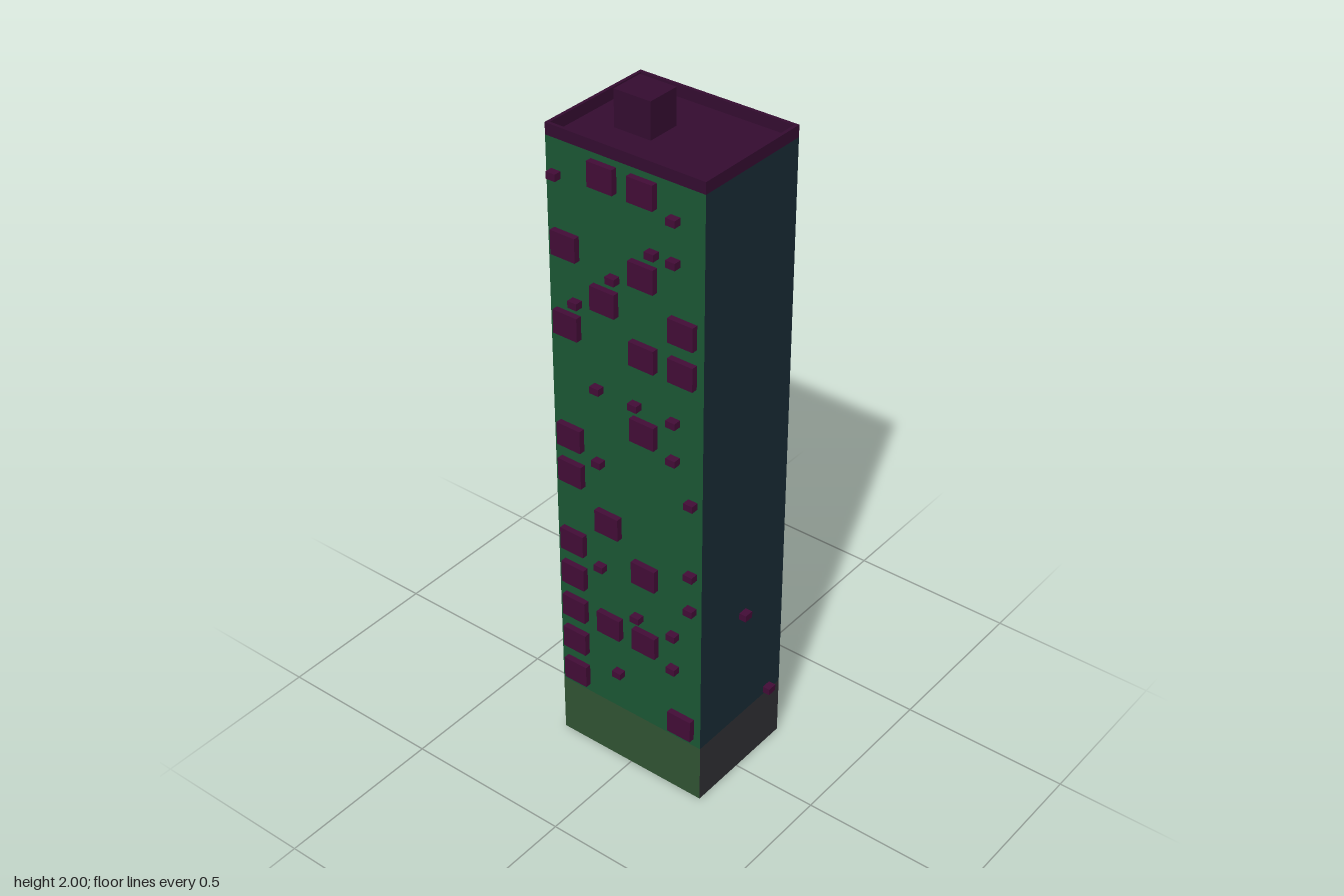
import * as THREE from 'three';

const HALF_W = 0.243, BACK = -0.195, FRONT = 0.17;
const BASE_TOP = 0.185, WALL_TOP = 1.897, ROOF_TOP = 1.93;
const ROW = 0.1143;

const mat = (color) => new THREE.MeshStandardMaterial({ color, side: THREE.DoubleSide });

export function createModel() {
  const group = new THREE.Group();
  const green = mat(0x1a5634), slate = mat(0x182a34), olive = mat(0x305232);
  const grey = mat(0x2f2f32), plum = mat(0x340c30), unit = mat(0x420c36);

  function add(name, geometry, material, x, y, z) {
    const mesh = new THREE.Mesh(geometry, material);
    mesh.name = name;
    mesh.position.set(x, y, z);
    group.add(mesh);
    return mesh;
  }

  // Hollow shell of four walls, open underneath
  const depth = FRONT - BACK, midZ = (FRONT + BACK) / 2;
  function storey(name, y0, y1, front, side, back) {
    const h = y1 - y0, y = (y0 + y1) / 2;
    const wide = new THREE.PlaneGeometry(HALF_W * 2, h);
    const deep = new THREE.PlaneGeometry(depth, h);
    add(name + 'Front', wide, front, 0, y, FRONT);
    add(name + 'Back', wide, back, 0, y, BACK).rotation.y = Math.PI;
    for (const s of [-1, 1]) {
      add(name + (s > 0 ? 'Left' : 'Right'), deep, side, s * HALF_W, y, midZ).rotation.y = s * Math.PI / 2;
    }
  }
  storey('groundFloor', 0, BASE_TOP, olive, grey, plum);
  storey('tower', BASE_TOP, WALL_TOP, green, slate, green);

  // Flat roof with a thin parapet
  const rim = 0.009;
  const outline = new THREE.Shape([
    new THREE.Vector2(-HALF_W, -FRONT), new THREE.Vector2(HALF_W, -FRONT),
    new THREE.Vector2(HALF_W, -BACK), new THREE.Vector2(-HALF_W, -BACK),
  ]);
  outline.holes.push(new THREE.Path([
    new THREE.Vector2(-HALF_W + rim, -FRONT + rim), new THREE.Vector2(-HALF_W + rim, -BACK - rim),
    new THREE.Vector2(HALF_W - rim, -BACK - rim), new THREE.Vector2(HALF_W - rim, -FRONT + rim),
  ]));
  const parapet = new THREE.ExtrudeGeometry(outline, { depth: ROOF_TOP - WALL_TOP, bevelEnabled: false });
  add('parapet', parapet.rotateX(-Math.PI / 2), plum, 0, WALL_TOP, 0);
  add('roofDeck', new THREE.PlaneGeometry(HALF_W * 2, depth).rotateX(-Math.PI / 2), plum, 0, WALL_TOP, midZ);

  // Stair house on the roof
  add('stairHouse', new THREE.BoxGeometry(0.113, 2 - WALL_TOP, 0.1), plum, -0.08, (2 + WALL_TOP) / 2, -0.011);

  // Large window boxes on the front: columns used in each row, from the lowest
  const largeRows = [[0, 3], [0], [0, 1, 2], [0], [0, 2], [1], [0], [0], [2], [], [0, 2, 3], [1, 3], [0, 2], [], [1, 2]];
  const largeGeo = new THREE.BoxGeometry(0.078, 0.069, 0.018);
  largeRows.forEach((cols, row) => cols.forEach((c) =>
    add('windowBox', largeGeo, unit, -0.184 + c * 0.122, 0.245 + row * ROW, FRONT + 0.009)));

  // Small air conditioners, two possible places under each window
  const smallRows = [[], [3], [2 * 3], [4, 6], [2, 7], [7], [], [2, 7], [6], [2, 4, 6], [], [1], [3], [5, 6], [0, 6]];
  const smallX = [-0.212, -0.155, -0.09, -0.033, 0.033, 0.09, 0.155, 0.212];
  const smallGeo = new THREE.BoxGeometry(0.029, 0.02, 0.022);
  smallRows.forEach((cols, row) => cols.forEach((c) =>
    add('airConditioner', smallGeo, unit, smallX[c], 0.202 + row * ROW, FRONT + 0.011)));

  // Air conditioners on the sides: [side, row, z]
  const sideUnits = [
    [-1, 13, -0.133], [-1, 9, -0.012], [-1, 4, -0.133], [-1, 4, -0.012], [-1, 4, 0.11],
    [-1, 2, -0.012], [-1, 2, 0.11], [1, 3, -0.012], [1, 0, -0.133],
  ];
  const sideGeo = new THREE.BoxGeometry(0.022, 0.02, 0.029);
  for (const [s, row, z] of sideUnits) {
    add('sideAirConditioner', sideGeo, unit, s * (HALF_W + 0.011), 0.202 + row * ROW, z);
  }
  return group;
}
